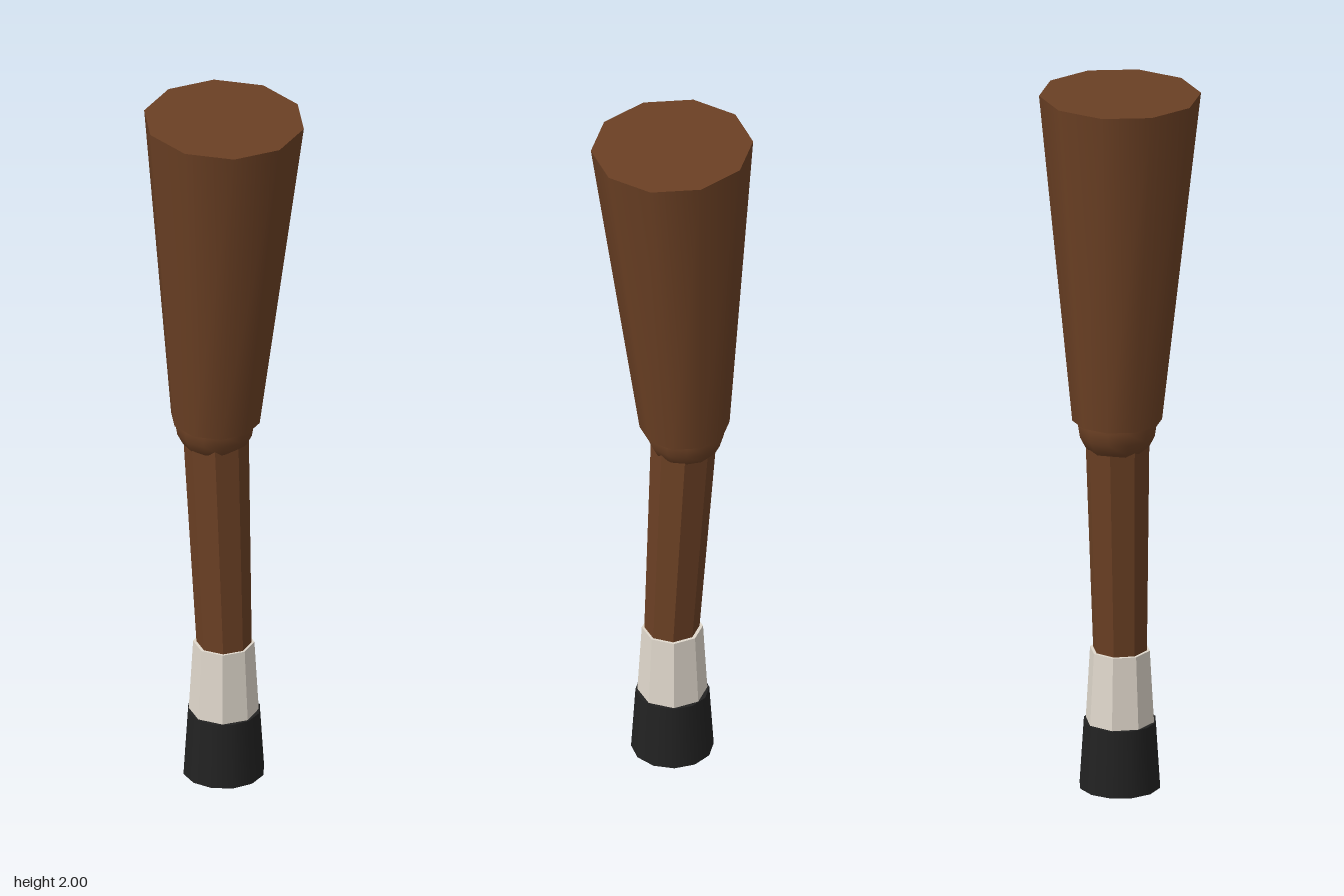
import * as THREE from 'three';

const material = (name, color, flatShading = false) => {
  const m = new THREE.MeshStandardMaterial({ color, flatShading });
  m.name = name;
  return m;
};

export function createModel() {
  const group = new THREE.Group();
  group.name = 'leg';
  const coat = material('brownCoat', 0x6b4024);
  const sockWhite = material('offWhiteSock', 0xe0d8cc);
  const hoofBlack = material('blackHoof', 0x222222);

  // Tapered segment between two centres [y, z], leaning in the yz plane
  function segment(name, mat, top, bottom, rTop, rBottom, sides, flat) {
    const dy = top[0] - bottom[0], dz = top[1] - bottom[1];
    let geometry = new THREE.CylinderGeometry(rTop, rBottom, Math.hypot(dy, dz), sides);
    if (flat) {
      geometry = geometry.toNonIndexed();
      geometry.computeVertexNormals();
    }
    const mesh = new THREE.Mesh(geometry, mat);
    mesh.name = name;
    mesh.position.set(0, (top[0] + bottom[0]) / 2, (top[1] + bottom[1]) / 2);
    mesh.rotation.x = Math.atan2(dz, dy);
    group.add(mesh);
  }

  segment('upperLeg', coat, [1.992, 0.001], [1.065, -0.033], 0.22, 0.122, 10, false);
  segment('lowerLeg', coat, [1.06, -0.033], [0.36, 0.003], 0.09, 0.074, 8, true);
  segment('sock', sockWhite, [0.393, 0], [0.15, 0], 0.083, 0.097, 8, true);
  segment('hoof', hoofBlack, [0.188, 0], [0, 0], 0.1, 0.112, 12, false);

  // Rounded knee under the upper leg
  const knee = new THREE.Mesh(new THREE.SphereGeometry(0.11, 12, 10), coat);
  knee.name = 'knee';
  knee.position.set(0, 1.06, -0.035);
  group.add(knee);

  return group;
}
